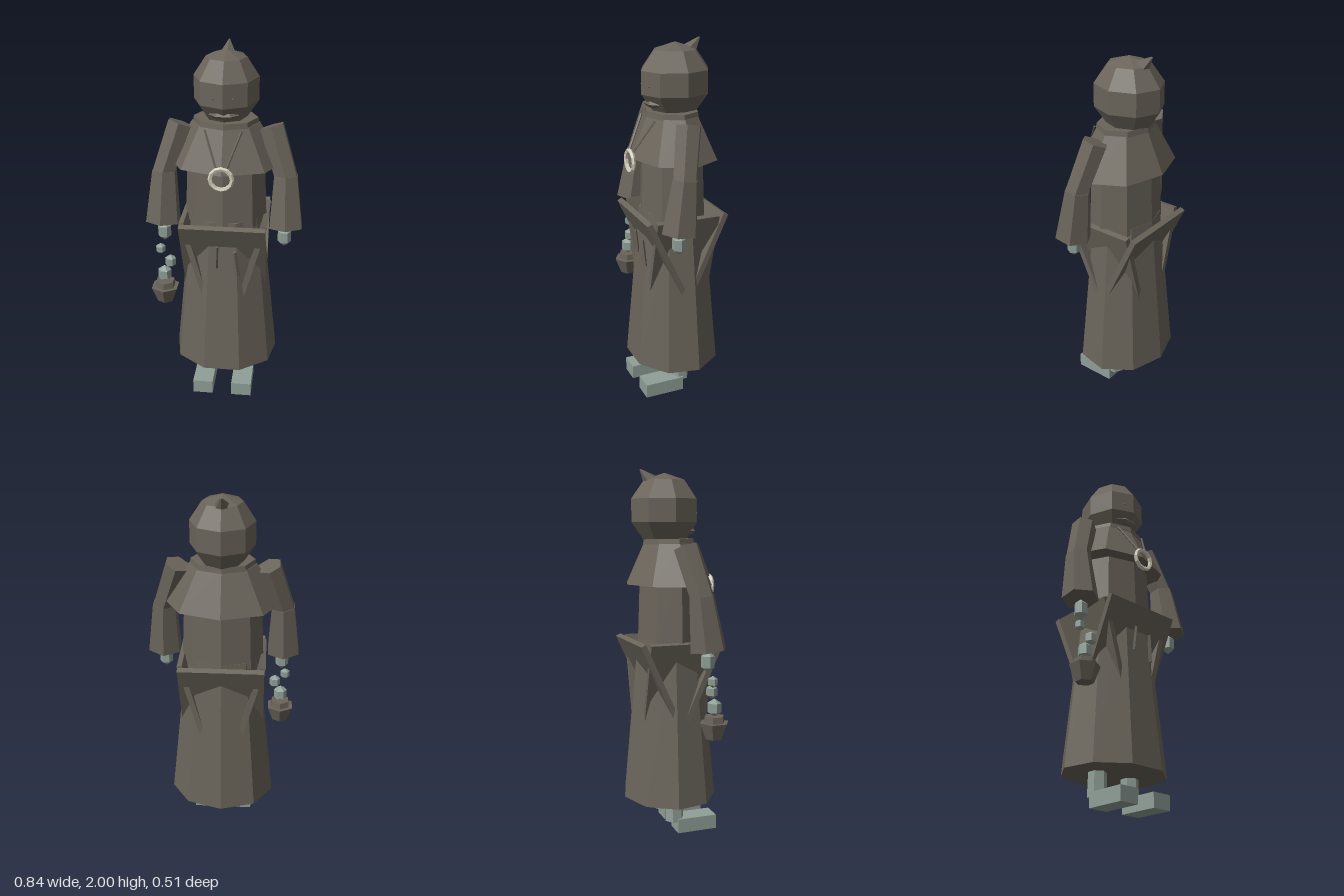
import * as THREE from 'three';

const mat = (name, color) => {
  const m = new THREE.MeshStandardMaterial({ color });
  m.name = name;
  return m;
};

export function createModel() {
  const model = new THREE.Group();
  model.name = 'robedFigure';
  const cloth = mat('brown cloth', 0x6a645a);
  const skin = mat('grey skin', 0x8f9f97);
  const bone = mat('pale bone', 0xd2cdba);

  // Faceted mesh: every triangle keeps its own normal
  function add(name, geo, material, pos = [0, 0, 0], parent = model) {
    const flat = geo.index ? geo.toNonIndexed() : geo;
    flat.computeVertexNormals();
    const mesh = new THREE.Mesh(flat, material);
    mesh.name = name;
    mesh.position.set(...pos);
    parent.add(mesh);
    return mesh;
  }
  // Tapered prism from point a to point b
  function limb(name, a, b, ra, rb, sides, material) {
    const from = new THREE.Vector3(...a), dir = new THREE.Vector3(...b).sub(from);
    const geo = new THREE.CylinderGeometry(rb, ra, dir.length(), sides);
    const mesh = add(name, geo, material);
    mesh.position.copy(from).addScaledVector(dir, 0.5);
    mesh.quaternion.setFromUnitVectors(new THREE.Vector3(0, 1, 0), dir.normalize());
    return mesh;
  }
  // Upright prism with an oval section
  function drum(name, y0, y1, r0, r1, depth, sides, turn = 0) {
    const geo = new THREE.CylinderGeometry(r1, r0, y1 - y0, sides).rotateY(turn).scale(1, 1, depth);
    return add(name, geo, cloth, [0, (y0 + y1) / 2, 0]);
  }
  const bead = (name, r, h, pos) =>
    add(name, new THREE.SphereGeometry(r, 6, 3).scale(1, h / r, 1), skin, pos);

  // Robe
  drum('skirt', 0.19, 1.09, 0.3, 0.205, 0.865, 9, Math.PI);
  drum('torso', 1.05, 1.5, 0.225, 0.205, 0.79, 8);
  drum('cape', 1.39, 1.61, 0.31, 0.18, 0.77, 8);
  drum('collar', 1.605, 1.635, 0.175, 0.17, 0.83, 8);

  // Overskirt panels, leaning inwards from the waist
  const panels = [[0.465, 0.222, 0.43], [0.36, 0.225, 0.27]];
  for (let i = 0; i < 4; i++) {
    const [width, out, lean] = panels[i % 2];
    const side = new THREE.Group();
    side.name = 'skirtPanelMount';
    side.rotation.y = i * Math.PI / 2;
    model.add(side);
    const geo = new THREE.BoxGeometry(width, 0.72, 0.03).translate(0, -0.36, 0);
    add('skirtPanel', geo, cloth, [0, 1.085, out], side).rotation.x = lean;
  }
  // Hanging belt ends
  limb('beltEnd', [-0.033, 0.83, 0.19], [-0.028, 0.965, 0.205], 0.009, 0.009, 4, cloth);
  limb('beltEnd', [0.085, 0.79, 0.195], [0.068, 0.94, 0.205], 0.014, 0.012, 4, cloth);

  // Hooded head with a swept-back peak
  add('hood', new THREE.SphereGeometry(1, 8, 5).scale(0.18, 0.2, 0.2), cloth, [0, 1.785, -0.02]);
  limb('hoodPeak', [0, 1.92, -0.085], [0, 2, -0.16], 0.055, 0.004, 6, cloth);
  add('mouth', new THREE.SphereGeometry(1, 6, 4).scale(0.08, 0.024, 0.045), cloth, [0, 1.675, 0.105]);

  for (const s of [-1, 1]) {
    add('eye', new THREE.SphereGeometry(0.006, 5, 4), cloth, [s * 0.05, 1.77, 0.147]);
    // Sleeves and hands
    limb('upperSleeve', [s * 0.332, 1.32, 0.07], [s * 0.242, 1.595, 0.01], 0.066, 0.07, 6, cloth);
    limb('lowerSleeve', [s * 0.335, 1.06, 0.1], [s * 0.325, 1.345, 0.065], 0.1, 0.07, 6, cloth);
    bead('hand', 0.042, 0.06, [s * 0.33, 1.0, 0.1]);
    // Legs and feet
    limb('leg', [s * 0.112, 0.06, -0.003], [s * 0.112, 0.25, -0.003], 0.053, 0.046, 6, skin);
    add('foot', new THREE.BoxGeometry(0.115, 0.08, 0.228), skin, [s * 0.112, 0.04, 0.114]);
    // Pendant cords
    limb('pendantCord', [s * 0.028, 1.43, 0.23], [s * 0.095, 1.6, 0.135], 0.006, 0.006, 4, cloth);
  }

  // Ring pendant
  add('pendantRing', new THREE.TorusGeometry(0.057, 0.012, 5, 12), bone, [0, 1.375, 0.24]);

  // Hanging censer
  bead('chainLink', 0.03, 0.032, [-0.352, 0.895, 0.12]);
  bead('chainLink', 0.035, 0.04, [-0.295, 0.83, 0.14]);
  bead('chainLink', 0.043, 0.05, [-0.33, 0.75, 0.14]);
  limb('censerLid', [-0.33, 0.665, 0.14], [-0.33, 0.705, 0.14], 0.06, 0.055, 6, cloth);
  limb('censerBowl', [-0.33, 0.58, 0.14], [-0.33, 0.67, 0.14], 0.048, 0.082, 6, cloth);

  return model;
}
